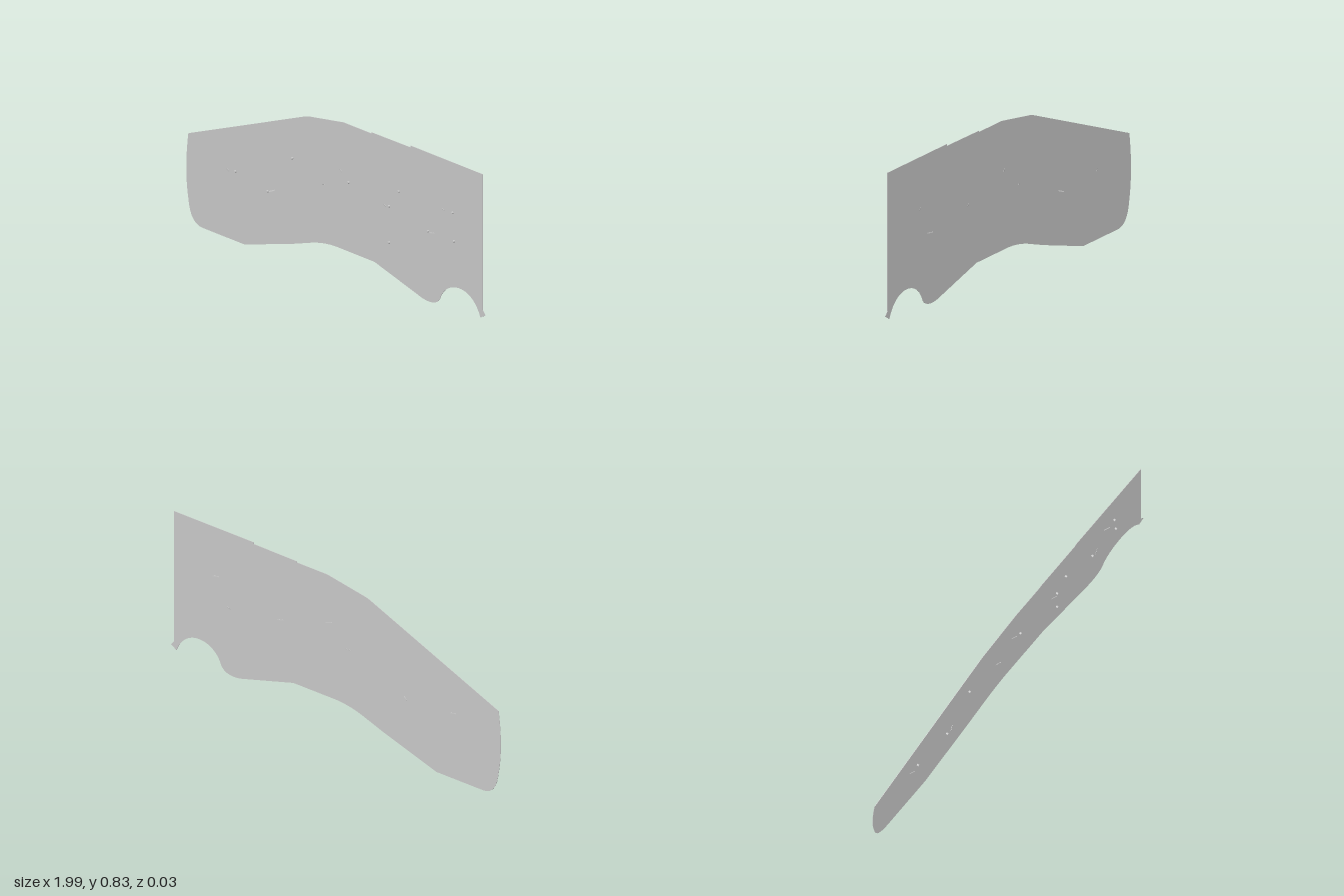
import * as THREE from 'three';

const THICK = 0.002;

export function createModel() {
  const model = new THREE.Group();
  const grey = new THREE.MeshStandardMaterial({ color: 0xcccccc, side: THREE.DoubleSide });
  const add = (name, geometry, parent = model) => {
    const mesh = new THREE.Mesh(geometry, grey);
    mesh.name = name;
    parent.add(mesh);
    return mesh;
  };

  // Thin panel: stepped top edge, hooked lower right corner, wavy underside
  const s = new THREE.Shape();
  s.moveTo(-0.985, 0.452);
  s.lineTo(-0.21, 0.767);
  s.quadraticCurveTo(-0.195, 0.773, -0.18, 0.776);
  s.lineTo(0.05, 0.815);
  s.lineTo(0.235, 0.815);
  s.lineTo(0.235, 0.821);
  s.lineTo(0.495, 0.823);
  s.lineTo(0.495, 0.832);
  s.lineTo(0.977, 0.832);
  s.lineTo(0.977, 0.152);
  s.lineTo(0.995, 0.13);
  s.lineTo(0.962, 0.109);
  s.bezierCurveTo(0.935, 0.18, 0.88, 0.214, 0.825, 0.214);
  s.bezierCurveTo(0.765, 0.214, 0.715, 0.18, 0.695, 0.13);
  s.bezierCurveTo(0.68, 0.09, 0.63, 0.08, 0.57, 0.093);
  s.lineTo(0.255, 0.178);
  s.lineTo(0, 0.178);
  s.bezierCurveTo(-0.06, 0.177, -0.12, 0.163, -0.16, 0.15);
  s.lineTo(-0.29, 0.105);
  s.lineTo(-0.61, 0.006);
  s.lineTo(-0.89, 0.006);
  s.bezierCurveTo(-0.95, 0.008, -0.975, 0.05, -0.985, 0.125);
  s.bezierCurveTo(-1.003, 0.22, -1.003, 0.33, -0.985, 0.452);
  const panel = add('panel', new THREE.ExtrudeGeometry(s, {
    depth: THICK, bevelEnabled: false, curveSegments: 14,
  }));
  panel.position.z = -THICK / 2;

  // Small pegs on the front face
  const pegs = [
    [-0.67, 0.355], [-0.455, 0.32], [-0.29, 0.535], [0.085, 0.525], [0.355, 0.487],
    [0.355, 0.305], [0.42, 0.58], [0.615, 0.44], [0.777, 0.58], [0.787, 0.44],
  ];
  const pegGeometry = new THREE.CylinderGeometry(0.006, 0.006, 0.011, 10).rotateX(Math.PI / 2);
  for (const [x, y] of pegs) add('peg', pegGeometry).position.set(x, y, 0.0055);

  // V-shaped clips whose two arms spread to either side of the panel:
  // position, direction of the open end, tilt
  const clips = [
    [-0.73, 0.35, 1, 0], [-0.41, 0.338, -1, 0.4], [-0.095, 0.463, 1, 0.3], [0.022, 0.572, 1, -0.1],
    [0.315, 0.485, 1, 0], [0.655, 0.44, -1, 0], [0.705, 0.58, 1, 0],
  ];
  const armGeometry = new THREE.BoxGeometry(0.031, 0.005, 0.0015).translate(0.0155, 0, 0);
  for (const [x, y, dir, tilt] of clips) {
    const clip = new THREE.Group();
    clip.name = 'clip';
    clip.position.set(x, y, 0);
    clip.rotation.z = tilt + (dir < 0 ? Math.PI : 0);
    for (const side of [-1, 1]) add('clipArm', armGeometry, clip).rotation.y = side * 0.4;
    model.add(clip);
  }
  return model;
}
